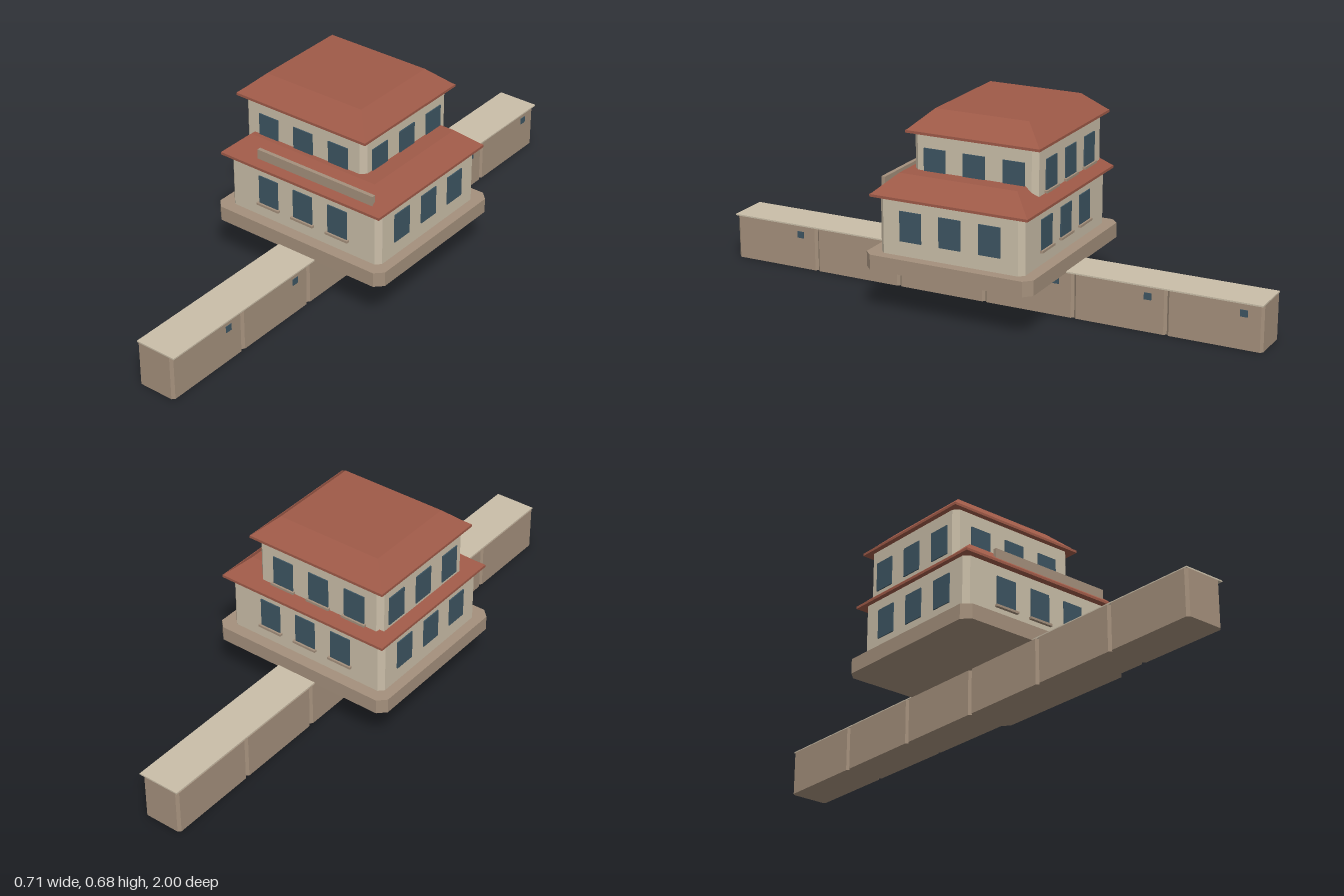
import * as THREE from 'three';

const mat = (name, color) => {
  const m = new THREE.MeshStandardMaterial({ color });
  m.name = name;
  return m;
};

export function createModel() {
  const plaster = mat('plaster', 0xcabea8);
  const stone = mat('stone', 0xa4907c);
  const tile = mat('roof tile', 0x9f5a48);
  const glass = mat('window glass', 0x3d5562);

  const model = new THREE.Group();
  model.name = 'gatehouse';

  function add(parent, name, geometry, material, x = 0, y = 0, z = 0) {
    const mesh = new THREE.Mesh(geometry, material);
    mesh.name = name;
    mesh.position.set(x, y, z);
    parent.add(mesh);
    return mesh;
  }

  // Upright block with chamfered vertical corners, standing on y = 0
  function chamferedBlock(hx, hz, h, c) {
    const shape = new THREE.Shape([
      [hx - c, -hz], [hx, -hz + c], [hx, hz - c], [hx - c, hz],
      [-hx + c, hz], [-hx, hz - c], [-hx, -hz + c], [-hx + c, -hz],
    ].map(([x, y]) => new THREE.Vector2(x, y)));
    return new THREE.ExtrudeGeometry(shape, { depth: h, bevelEnabled: false }).rotateX(-Math.PI / 2);
  }

  // Box whose top is drawn in to a smaller rectangle
  function hippedBlock(hx, hz, topX, topZ, h) {
    const g = new THREE.BoxGeometry(2 * hx, h, 2 * hz).toNonIndexed();
    const p = g.attributes.position;
    for (let i = 0; i < p.count; i++) {
      if (p.getY(i) > 0) p.setXYZ(i, Math.sign(p.getX(i)) * topX, h / 2, Math.sign(p.getZ(i)) * topZ);
    }
    g.computeVertexNormals();
    return g.translate(0, h / 2, 0);
  }

  // Long boundary wall: six chamfered sections with caps and small side openings
  const wall = new THREE.Group();
  wall.name = 'boundaryWall';
  model.add(wall);
  const len = 1 / 3;
  for (let i = 0; i < 6; i++) {
    const z = 1 - len * (i + 0.5);
    add(wall, 'wallSection', chamferedBlock(0.073, len / 2, 0.16, 0.009), stone, 0, 0, z);
    add(wall, 'wallCap', new THREE.BoxGeometry(0.154, 0.005, len), plaster, 0.006, 0.1625, z);
    add(wall, 'wallOpening', new THREE.BoxGeometry(0.004, 0.024, 0.026), glass, 0.073, 0.125, z - 0.1);
  }

  // Base slab
  add(model, 'baseSlab', chamferedBlock(0.353, 0.31, 0.053, 0.028), stone, 0, 0.16, 0);

  // One storey: chamfered walls, hipped roof and three windows on each side
  function storey(name, s) {
    const g = new THREE.Group();
    g.name = name;
    g.position.set(s.x, 0, s.z);
    model.add(g);
    const [hx, hz] = s.half;
    add(g, 'walls', chamferedBlock(hx, hz, s.top - s.bottom, 0.018), plaster, 0, s.bottom, 0);
    const [ex, ez] = s.eave;
    add(g, 'eave', new THREE.BoxGeometry(2 * ex, 0.009, 2 * ez), tile, 0, s.top + 0.0045, 0);
    add(g, 'roof', hippedBlock(ex - 0.002, ez - 0.002, ...s.ridge, s.roofTop - s.top - 0.009),
      tile, 0, s.top + 0.009, 0);
    for (let side = 0; side < 4; side++) {
      const face = new THREE.Group();
      face.name = ['frontWindows', 'leftWindows', 'backWindows', 'rightWindows'][side];
      face.rotation.y = side * Math.PI / 2;
      g.add(face);
      const d = side % 2 ? hx : hz;
      for (const x of [-0.146, 0, 0.146]) {
        add(face, 'window', new THREE.BoxGeometry(0.08, 0.105, 0.008), glass, x, s.sill + 0.0525, d);
        // Sills on front and back only
        if (side % 2 === 0) {
          add(face, 'windowSill', new THREE.BoxGeometry(0.094, 0.008, 0.022), stone, x, s.sill - 0.004, d);
        }
      }
    }
  }

  storey('lowerStorey', {
    x: 0, z: 0, half: [0.316, 0.267], bottom: 0.213, top: 0.408,
    eave: [0.333, 0.291], ridge: [0.26, 0.218], roofTop: 0.481, sill: 0.265,
  });
  storey('upperStorey', {
    x: -0.051, z: -0.03, half: [0.252, 0.228], bottom: 0.42, top: 0.608,
    eave: [0.27, 0.247], ridge: [0.197, 0.173], roofTop: 0.683, sill: 0.455,
  });

  // Blank board along the front of the lower roof
  add(model, 'roofBoard', new THREE.BoxGeometry(0.48, 0.036, 0.014), stone, 0.05, 0.452, 0.262);

  return model;
}
